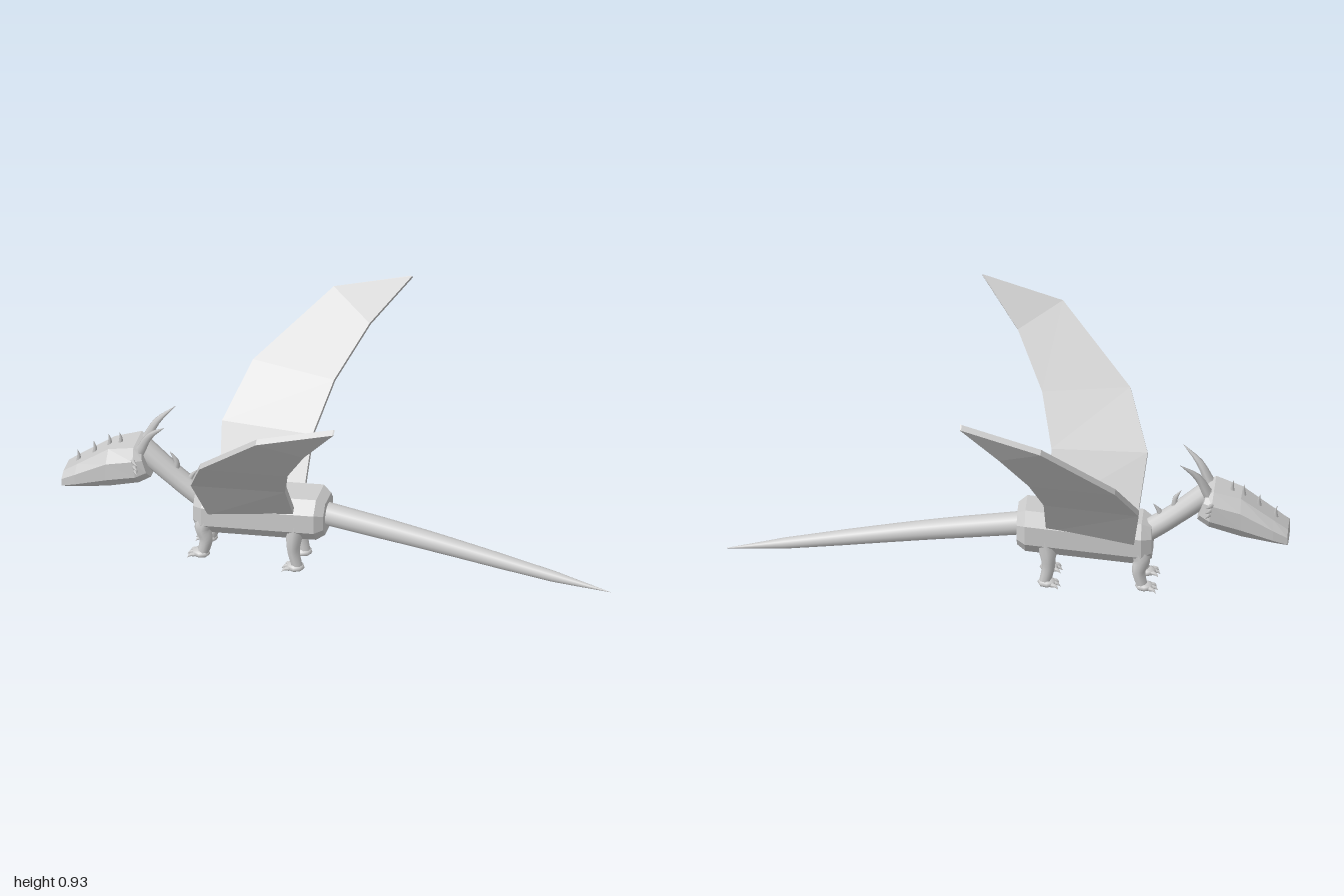
import * as THREE from 'three';

const stone = new THREE.MeshStandardMaterial({ color: 0xcccccc });
stone.name = 'light grey';
const V = (x, y, z) => new THREE.Vector3(x, y, z);

// Flat-faced skin over a row of closed cross-sections, capped at both ends
function loft(rings) {
  const pos = [];
  const tri = (...pts) => pts.forEach((p) => pos.push(p.x, p.y, p.z));
  const n = rings[0].length;
  const mid = (r) => r.reduce((s, p) => s.add(p), V(0, 0, 0)).divideScalar(n);
  const first = rings[0], last = rings[rings.length - 1];
  const c0 = mid(first), c1 = mid(last);
  for (let j = 0; j < n; j++) {
    const k = (j + 1) % n;
    for (let i = 0; i < rings.length - 1; i++) {
      const a = rings[i], b = rings[i + 1];
      tri(a[j], a[k], b[k]);
      tri(a[j], b[k], b[j]);
    }
    tri(c0, first[k], first[j]);
    tri(c1, last[j], last[k]);
  }
  const g = new THREE.BufferGeometry();
  g.setAttribute('position', new THREE.Float32BufferAttribute(pos, 3));
  g.computeVertexNormals();
  return g;
}

// Chamfered eight-sided section across x; lean pushes the top back or forward
function section(x, y0, y1, hz, top = 0.6, lean = 0) {
  const h = y1 - y0;
  const half = [[y1, hz * top], [y1 - h * 0.28, hz], [y0 + h * 0.28, hz], [y0, hz * 0.6]];
  const at = ([y, z], s) => V(x + lean * (y - y0) / h, y, z * s);
  return [...half.map((p) => at(p, 1)), ...half.reverse().map((p) => at(p, -1))];
}

// Round tube along a curve whose radius follows a list of values
function taper(points, radii, sides = 8, steps = 12) {
  const curve = new THREE.CatmullRomCurve3(points);
  const g = new THREE.TubeGeometry(curve, steps, 1, sides, false);
  const p = g.attributes.position, v = V(0, 0, 0);
  for (let i = 0; i < p.count; i++) {
    const t = Math.floor(i / (sides + 1)) / steps;
    const f = t * (radii.length - 1), k = Math.min(Math.floor(f), radii.length - 2);
    const r = THREE.MathUtils.lerp(radii[k], radii[k + 1], f - k);
    const c = curve.getPointAt(t);
    v.fromBufferAttribute(p, i).sub(c).multiplyScalar(r).add(c);
    p.setXYZ(i, v.x, v.y, v.z);
  }
  return g;
}

export function createModel() {
  const model = new THREE.Group();
  const add = (name, geometry) => {
    const m = new THREE.Mesh(geometry, stone);
    m.name = name;
    model.add(m);
    return m;
  };
  const spike = (name, base, tip, r, bow) => {
    const mid = base.clone().lerp(tip, 0.5).add(bow);
    add(name, taper([base, mid, tip], [r, r * 0.65, 0.0005], 6, 6));
  };

  // Body
  add('body', loft([
    section(-0.52, 0.125, 0.25, 0.065), section(-0.485, 0.106, 0.27, 0.088),
    section(-0.075, 0.142, 0.308, 0.088), section(-0.045, 0.16, 0.288, 0.066),
  ]));

  // Tail
  add('tail', taper([V(-0.06, 0.226, 0), V(0.3, 0.178, 0), V(0.8, 0.1, 0), V(0.985, 0.073, 0)],
    [0.042, 0.039, 0.034, 0.028, 0.02, 0.0005], 16, 30));

  // Neck
  add('neck', taper([V(-0.48, 0.2, 0), V(-0.58, 0.27, 0), V(-0.72, 0.385, 0)], [0.04, 0.038, 0.042], 12));

  // Head
  add('head', loft([
    section(-1, 0.2, 0.262, 0.066, 0.55), section(-0.95, 0.21, 0.3, 0.073, 0.55),
    section(-0.835, 0.234, 0.385, 0.079, 0.55), section(-0.72, 0.272, 0.415, 0.088, 0.65, -0.02),
    section(-0.68, 0.295, 0.405, 0.07, 0.65, -0.035),
  ]));

  // Spikes along the snout, neck and back
  [[-0.955, 0.29], [-0.896, 0.335], [-0.842, 0.375], [-0.802, 0.388]].forEach(([x, y]) =>
    spike('snoutSpike', V(x, y, 0), V(x - 0.004, y + 0.045, 0), 0.009, V(0.003, 0, 0)));
  spike('neckSpike', V(-0.6, 0.31, 0), V(-0.622, 0.385, 0), 0.015, V(0.012, 0, 0));
  spike('neckSpike', V(-0.55, 0.265, 0), V(-0.522, 0.325, 0), 0.014, V(-0.008, 0, 0));
  [[-0.43, 0.27], [-0.34, 0.277], [-0.225, 0.287]].forEach(([x, y]) =>
    spike('backSpike', V(x - 0.005, y - 0.005, 0), V(x + 0.015, y + 0.08, 0), 0.018, V(-0.008, 0, 0)));

  // Wing outline: leading and trailing points from root to tip
  const wing = [
    [[-0.46, 0.2, 0.085], [-0.15, 0.235, 0.07]],
    [[-0.487, 0.4, 0.215], [-0.15, 0.415, 0.19]],
    [[-0.415, 0.575, 0.365], [-0.107, 0.57, 0.32]],
    [[-0.165, 0.823, 0.527], [-0.012, 0.745, 0.445]],
    [[0.115, 0.914, 0.53], [0.12, 0.914, 0.528]],
  ];

  for (const s of [1, -1]) {
    const side = s > 0 ? 'left' : 'right';

    // Wings
    const skin = V(0, 0.014, -0.017 * s);
    add(side + 'Wing', loft(wing.map((pair) => {
      const [l, t] = pair.map(([x, y, z]) => V(x, y, z * s));
      const ring = [l, t, t.clone().add(skin), l.clone().add(skin)];
      return s > 0 ? ring : ring.reverse();
    })));

    // Horns and cheek spikes
    spike(side + 'Horn', V(-0.72, 0.395, 0.04 * s), V(-0.622, 0.53, 0.073 * s), 0.02, V(-0.012, 0.008, -0.006 * s));
    [0.375, 0.355, 0.337].forEach((y, i) =>
      spike(side + 'CheekSpike', V(-0.735 + i * 0.005, y, 0.08 * s), V(-0.712, y + 0.004, 0.113 * s), 0.009, V(-0.003, 0, 0)));

    // Legs and feet, front pair then back pair
    [['Front', -0.475, 0.14, 0.01], ['Back', -0.145, 0.18, -0.012]].forEach(([end, x, top, knee]) => {
      const z = 0.055 * s;
      const ankle = end === 'Front' ? -0.487 : -0.143;
      add(side + end + 'Leg', taper(
        [V(x, top + 0.02, z), V(x - 0.01, 0.13, z + 0.003 * s), V(x - 0.005 + knee * 0.5, 0.08, z), V(ankle, 0.018, z - 0.003 * s)],
        [0.034, 0.031, 0.025, 0.022, 0.02], 8));
      const foot = add(side + end + 'Foot', new THREE.SphereGeometry(1, 8, 6));
      foot.scale.set(0.034, 0.016, 0.03);
      foot.position.set(ankle - 0.008, 0.018, z - 0.003 * s);
      [-1, 0, 1].forEach((k) => spike(side + end + 'Claw',
        V(ankle - 0.025, 0.018, z + k * 0.017), V(ankle - 0.056 + Math.abs(k) * 0.006, 0.004, z + k * 0.024),
        0.01, V(-0.003, 0.004, 0)));
    });
  }
  return model;
}
